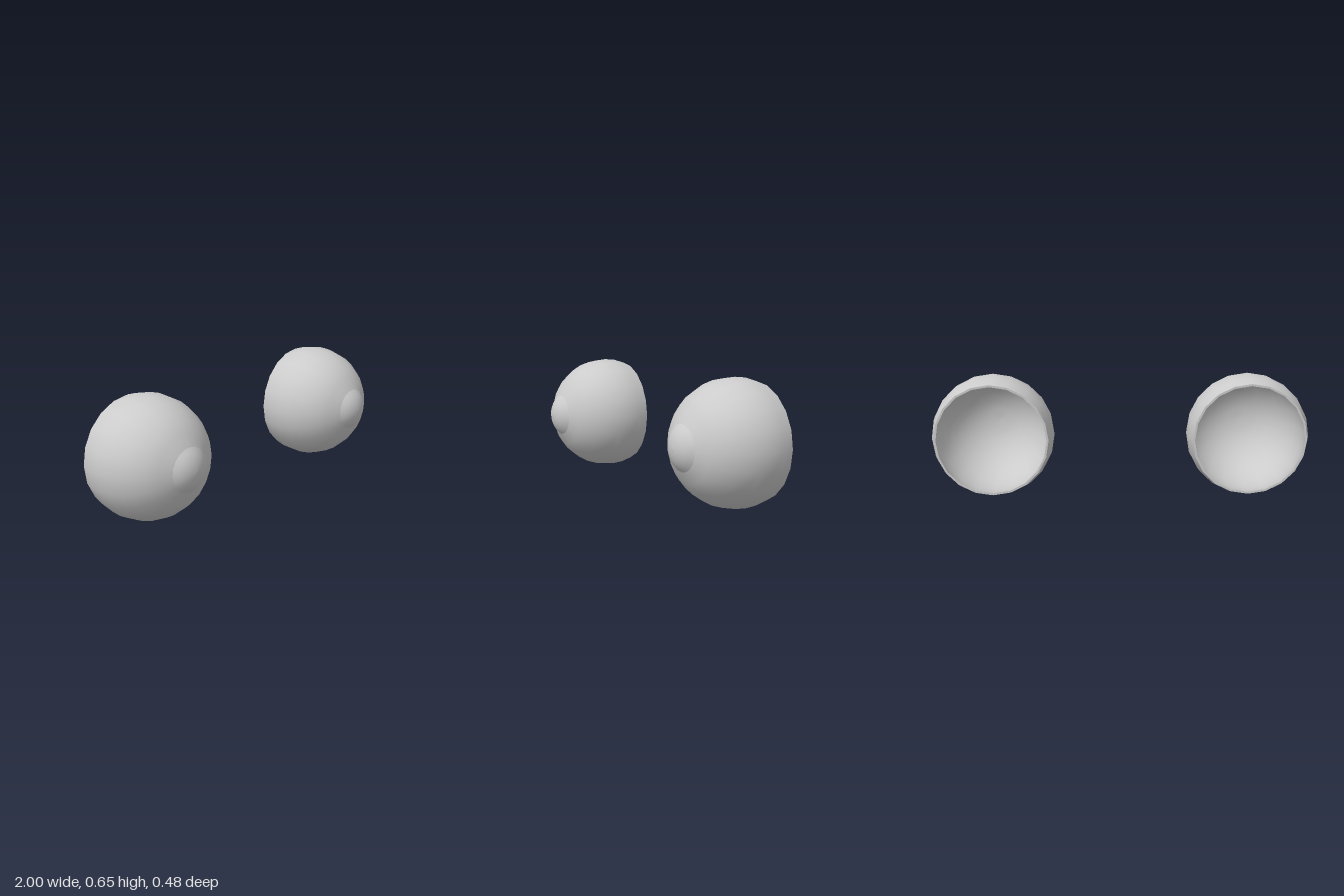
import * as THREE from 'three';

const R = 0.324;        // eyeball radius
const SIDES = 20;
const STEP = Math.PI / 16;
const INNER = 0.963;    // inner wall is slightly narrower than the outer one

// Points of the eyeball profile (radius, forward), from the cut rim to the front
function ballProfile(scale, lastStep) {
  const points = [];
  for (let i = -2; i <= lastStep; i++) {
    points.push(new THREE.Vector2(Math.max(0, R * scale * Math.cos(i * STEP)), R * Math.sin(i * STEP)));
  }
  return points;
}

// Turned surface whose axis points forward (+z)
function turned(name, points, material) {
  const geometry = new THREE.LatheGeometry(points, SIDES);
  geometry.rotateX(Math.PI / 2);
  const mesh = new THREE.Mesh(geometry, material);
  mesh.name = name;
  return mesh;
}

function createEye(name, x, material) {
  const eye = new THREE.Group();
  eye.name = name;

  // Outer wall stops where the cornea begins
  const outer = ballProfile(1, 6);
  outer[outer.length - 1].set(0.116, 0.302);
  eye.add(turned('eyeballOuter', outer, material));

  // Hollow inside, seen through the open back
  const inner = ballProfile(INNER, 8);
  inner[inner.length - 1].y -= 0.004;
  eye.add(turned('eyeballInner', inner.slice().reverse(), material));

  // Thin ring closing the cut edge
  eye.add(turned('backRim', [inner[0].clone(), outer[0].clone()], material));

  // Bulging cornea: a cap of a smaller sphere
  const capRadius = 0.159, capAngle = Math.asin(0.116 / capRadius), cap = [];
  const capCentre = 0.302 - capRadius * Math.cos(capAngle);
  for (let i = 5; i >= 0; i--) {
    const a = capAngle * i / 5;
    cap.push(new THREE.Vector2(capRadius * Math.sin(a), capCentre + capRadius * Math.cos(a)));
  }
  eye.add(turned('cornea', cap, material));

  eye.position.set(x, 0.325, -0.113);
  return eye;
}

export function createModel() {
  const model = new THREE.Group();
  model.name = 'eyes';
  const material = new THREE.MeshStandardMaterial({ color: 0xcccccc });
  model.add(createEye('leftEye', 0.676, material), createEye('rightEye', -0.676, material));
  return model;
}
